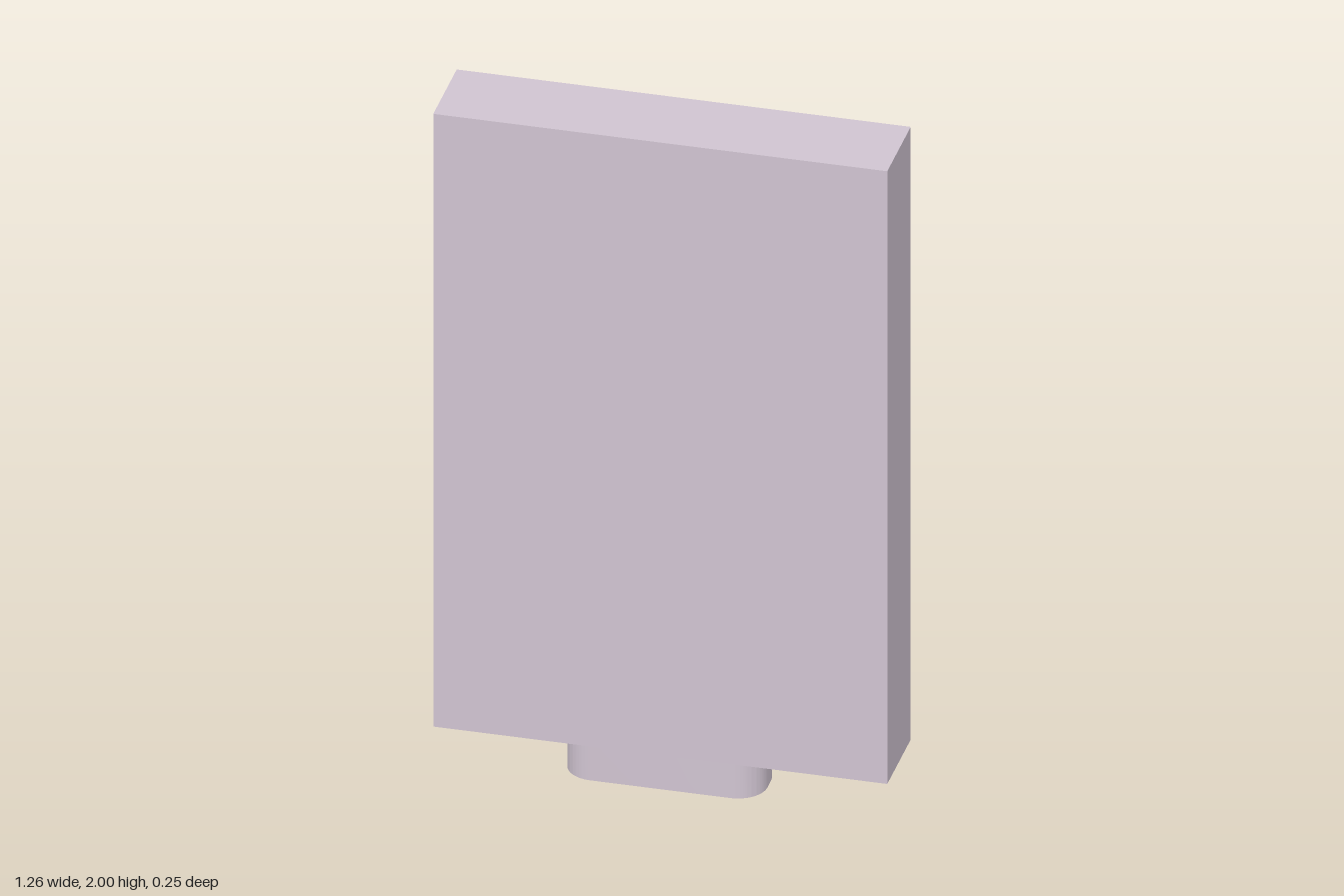
import * as THREE from 'three';
import { toCreasedNormals } from 'three/addons/utils/BufferGeometryUtils.js';

// Traces a rounded rectangle centred on the origin
function roundedRect(path, width, depth, r) {
  const x = width / 2, y = depth / 2;
  path.moveTo(-x + r, -y);
  path.lineTo(x - r, -y);
  path.absarc(x - r, -y + r, r, -Math.PI / 2, 0);
  path.lineTo(x, y - r);
  path.absarc(x - r, y - r, r, 0, Math.PI / 2);
  path.lineTo(-x + r, y);
  path.absarc(-x + r, y - r, r, Math.PI / 2, Math.PI);
  path.lineTo(-x, -y + r);
  path.absarc(-x + r, -y + r, r, Math.PI, Math.PI * 1.5);
  return path;
}

export function createModel() {
  const group = new THREE.Group();
  const material = new THREE.MeshStandardMaterial({ color: 0xd0c4d1 });

  const width = 1.265, thickness = 0.253, collarHeight = 0.105;
  const bodyHeight = 2 - collarHeight;

  // Flat slab body
  const body = new THREE.Mesh(new THREE.BoxGeometry(width, bodyHeight, thickness), material);
  body.name = 'body';
  body.position.y = collarHeight + bodyHeight / 2;
  group.add(body);

  // Hollow rounded collar below, flush with the front of the body
  const collarWidth = 0.555, collarDepth = 0.202, wall = 0.033, radius = 0.082;
  const outline = roundedRect(new THREE.Shape(), collarWidth, collarDepth, radius);
  outline.holes.push(
    roundedRect(new THREE.Path(), collarWidth - 2 * wall, collarDepth - 2 * wall, radius - wall)
  );
  const collarGeometry = new THREE.ExtrudeGeometry(outline, {
    depth: collarHeight, bevelEnabled: false, curveSegments: 16,
  });
  collarGeometry.rotateX(-Math.PI / 2);
  const collar = new THREE.Mesh(toCreasedNormals(collarGeometry, Math.PI / 6), material);
  collar.name = 'connectorCollar';
  collar.position.z = thickness / 2 - collarDepth / 2;
  group.add(collar);

  return group;
}
